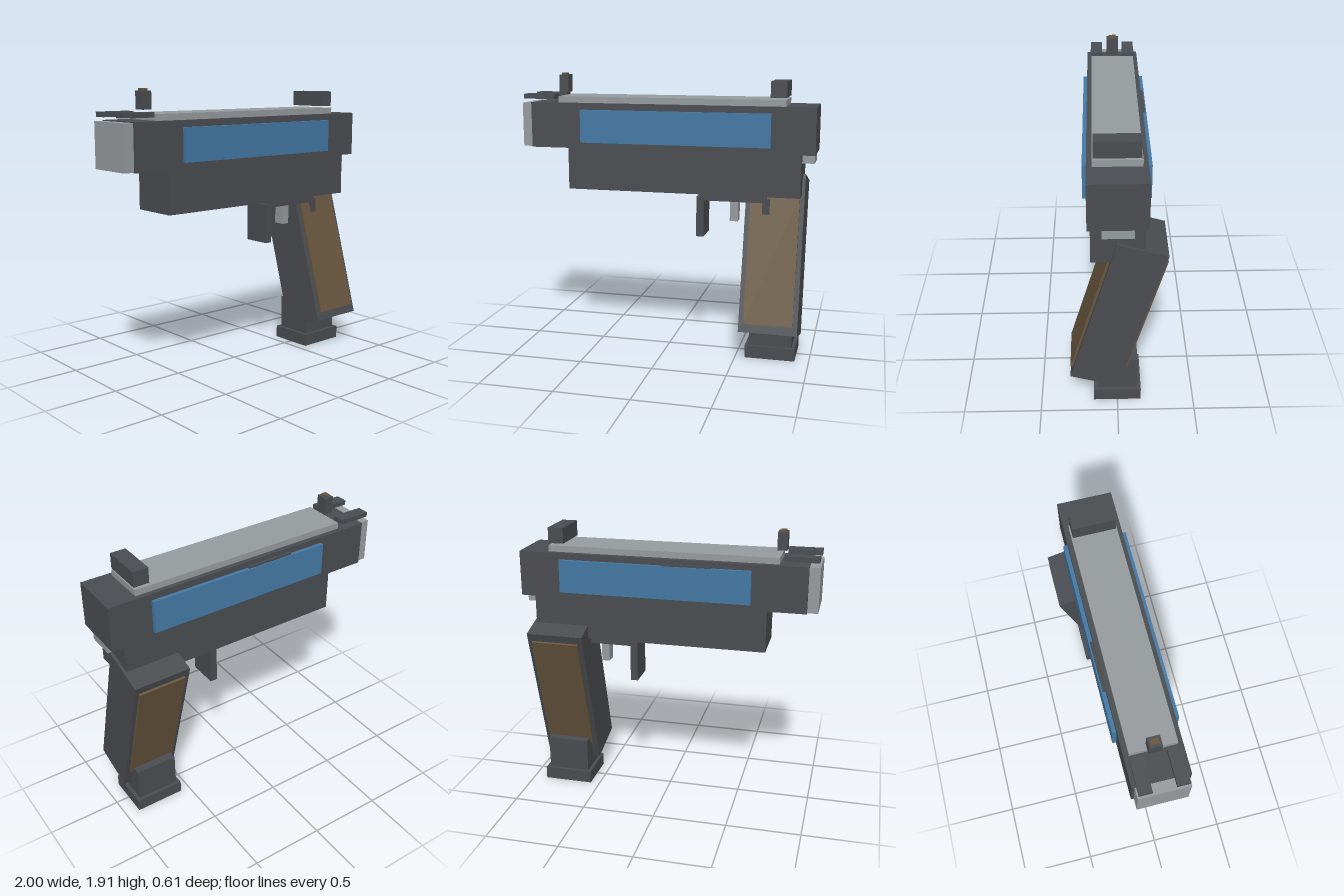
import * as THREE from 'three';

const material = (name, color) => {
  const m = new THREE.MeshStandardMaterial({ color });
  m.name = name;
  return m;
};

export function createModel() {
  const model = new THREE.Group();
  model.name = 'toyBlaster';
  const dark = material('dark metal', 0x4a4d51);
  const light = material('light metal', 0x969b9e);
  const blue = material('blue panel', 0x4479a5);
  const brown = material('brown grip', 0x69573f);

  // Box from its lower and upper limits on each axis
  const box = (name, mat, [x0, x1], [y0, y1], [z0, z1]) => {
    const mesh = new THREE.Mesh(new THREE.BoxGeometry(x1 - x0, y1 - y0, z1 - z0), mat);
    mesh.position.set((x0 + x1) / 2, (y0 + y1) / 2, (z0 + z1) / 2);
    mesh.name = name;
    model.add(mesh);
    return mesh;
  };

  // Body
  box('slide', dark, [-0.93, 1], [1.408, 1.713], [-0.18, 0.18]);
  box('lowerFrame', dark, [-0.675, 0.91], [1.123, 1.408], [-0.163, 0.163]);
  box('muzzleBlock', light, [-1, -0.93], [1.411, 1.708], [-0.162, 0.162]);
  box('topRail', light, [-0.742, 0.803], [1.713, 1.755], [-0.148, 0.148]);
  box('rearTab', light, [0.85, 0.99], [1.345, 1.408], [-0.095, 0.095]);
  box('sideButton', dark, [-0.31, 0.02], [1.59, 1.683], [-0.198, -0.18]);

  // Sights
  box('rearSight', dark, [0.7, 0.805], [1.768, 1.872], [-0.14, 0.14]);
  box('frontSight', dark, [-0.775, -0.71], [1.778, 1.895], [-0.04, 0.04]);
  box('frontSightDot', brown, [-0.762, -0.727], [1.895, 1.908], [-0.025, 0.025]);

  // Parts mirrored front to back
  for (const s of [1, -1]) {
    const span = (a, b) => (s > 0 ? [a, b] : [-b, -a]);
    box('sidePanel', blue, [-0.572, 0.715], [1.45, 1.67], span(0.18, 0.206));
    box('muzzleFin', dark, [-0.992, -0.77], [1.735, 1.767], span(0.072, 0.154));
  }

  // Trigger and guard
  box('guardTop', dark, [0.235, 0.685], [1.07, 1.123], [-0.1, 0.1]);
  box('guardFront', dark, [0.21, 0.26], [0.82, 1.095], [-0.1, 0.1]);
  box('guardRear', dark, [0.657, 0.705], [0.82, 1.095], [-0.1, 0.1]);
  box('trigger', light, [0.43, 0.485], [0.925, 1.07], [-0.04, 0.04]);

  // Tilted grip with a brown plate on both faces
  const tilt = -0.283;
  box('grip', dark, [0.54, 0.93], [0.168, 1.238], [-0.161, 0.161]).rotation.x = tilt;
  for (const z of [0.169, -0.169]) {
    box('gripPlate', brown, [0.573, 0.9], [0.271, 1.135], [z - 0.015, z + 0.015]).rotation.x = tilt;
  }

  // Magazine
  box('magazine', dark, [0.59, 0.88], [0.085, 0.32], [-0.13, 0.13]);
  box('magazineBase', dark, [0.565, 0.905], [0, 0.086], [-0.154, 0.154]);

  return model;
}
